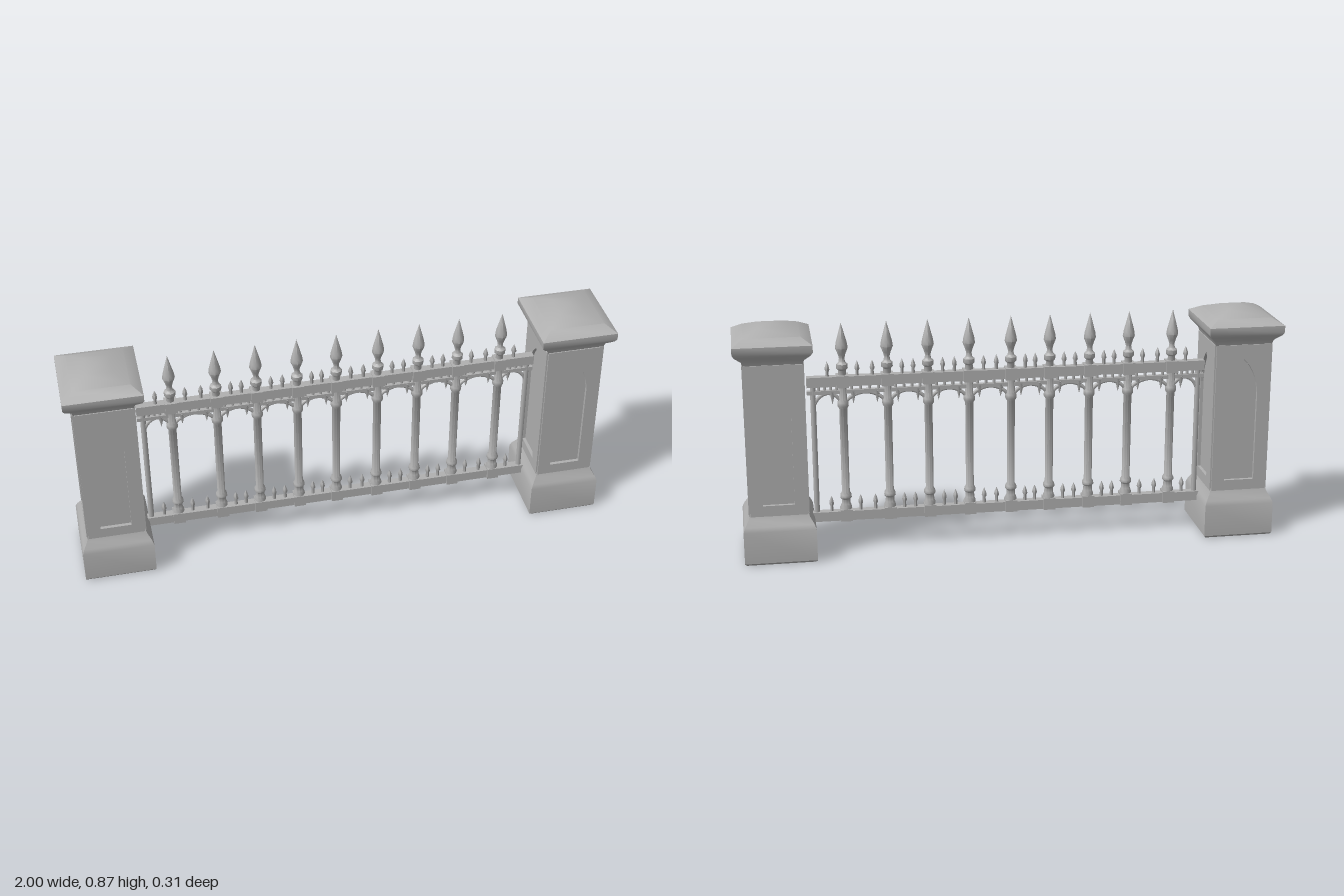
import * as THREE from 'three';
import { toCreasedNormals } from 'three/addons/utils/BufferGeometryUtils.js';

const stone = new THREE.MeshStandardMaterial({ color: 0xb0b0b0 });
stone.name = 'grey stone';

function add(parent, name, geometry, x = 0, y = 0, z = 0) {
  const mesh = new THREE.Mesh(geometry, stone);
  mesh.name = name;
  mesh.position.set(x, y, z);
  parent.add(mesh);
  return mesh;
}

// Square turned body: profile points are [half width, height]
function squareLathe(points) {
  const pts = points.map(([h, y]) => new THREE.Vector2(h * Math.SQRT2, y));
  const g = new THREE.LatheGeometry(pts, 4).rotateY(Math.PI / 4);
  return toCreasedNormals(g, 0.6);
}

function roundLathe(points, sides = 10) {
  const g = new THREE.LatheGeometry(points.map(([r, y]) => new THREE.Vector2(r, y)), sides);
  return toCreasedNormals(g, 0.8);
}

// Shaft face with a pointed arch cut out
function panelGeometry() {
  const w = 0.113, a = 0.062;
  const face = new THREE.Shape();
  face.moveTo(-w, 0.18).lineTo(w, 0.18).lineTo(w, 0.745).lineTo(-w, 0.745).closePath();
  const arch = new THREE.Path();
  arch.moveTo(-a, 0.22).lineTo(-a, 0.56);
  arch.quadraticCurveTo(-a + 0.006, 0.645, 0, 0.69);
  arch.quadraticCurveTo(a - 0.006, 0.645, a, 0.56);
  arch.lineTo(a, 0.22).closePath();
  face.holes.push(arch);
  return new THREE.ExtrudeGeometry(face, { depth: 0.024, bevelEnabled: false, curveSegments: 8 });
}

function makePillar(side) {
  const pillar = new THREE.Group();
  pillar.name = side > 0 ? 'leftPillar' : 'rightPillar';
  add(pillar, 'pillarBase', squareLathe([
    [0, 0], [0.136, 0], [0.143, 0.008], [0.143, 0.128], [0.136, 0.145],
    [0.12, 0.17], [0.112, 0.195], [0, 0.195],
  ]));
  add(pillar, 'pillarCore', new THREE.BoxGeometry(0.212, 0.58, 0.212), 0, 0.47);
  const panel = panelGeometry();
  for (let i = 0; i < 4; i++) {
    const angle = i * Math.PI / 2;
    const mesh = add(pillar, 'archedPanel', panel, Math.sin(angle) * 0.095, 0, Math.cos(angle) * 0.095);
    mesh.rotation.y = angle;
  }
  add(pillar, 'pillarCap', squareLathe([
    [0, 0.735], [0.112, 0.735], [0.12, 0.76], [0.145, 0.782], [0.153, 0.795],
    [0.153, 0.82], [0.11, 0.843], [0.05, 0.864], [0, 0.874],
  ]));
  pillar.scale.x = 0.92;
  pillar.position.x = side * 0.859;
  return pillar;
}

// Curved iron bracket rising from one bar to the middle of the bay
function archHalf(from, to) {
  const curve = new THREE.QuadraticBezierCurve3(
    new THREE.Vector3(from, 0.545, 0),
    new THREE.Vector3(from + (to - from) * 0.25, 0.595, 0),
    new THREE.Vector3(to, 0.6, 0));
  return new THREE.TubeGeometry(curve, 8, 0.007, 6);
}

function makeFence() {
  const fence = new THREE.Group();
  fence.name = 'fence';

  // Rails and end posts
  const rail = (name, y, h, d) => add(fence, name, new THREE.BoxGeometry(1.48, h, d), 0, y);
  rail('topRail', 0.645, 0.037, 0.03);
  rail('laceRail', 0.604, 0.014, 0.018);
  rail('bottomRail', 0.127, 0.036, 0.03);
  for (const s of [-1, 1]) {
    add(fence, 'endPost', new THREE.CylinderGeometry(0.01, 0.01, 0.54, 8), s * 0.718, 0.385);
  }

  const bar = roundLathe([
    [0, 0.13], [0.02, 0.13], [0.022, 0.16], [0.017, 0.172], [0.016, 0.19], [0.022, 0.197],
    [0.021, 0.208], [0.015, 0.218], [0.015, 0.54], [0.021, 0.55], [0.021, 0.565],
    [0.015, 0.575], [0.015, 0.64], [0, 0.64],
  ]);
  const finial = roundLathe([
    [0, 0.65], [0.015, 0.65], [0.014, 0.685], [0.021, 0.692], [0.021, 0.708], [0.012, 0.716],
    [0.01, 0.73], [0.014, 0.745], [0.023, 0.768], [0.02, 0.788], [0.01, 0.825], [0, 0.862],
  ], 8);
  const spike = roundLathe([
    [0, 0], [0.007, 0], [0.006, 0.026], [0.01, 0.034], [0.008, 0.045], [0, 0.064],
  ], 6);
  const cusp = new THREE.ConeGeometry(0.012, 0.05, 6).rotateX(Math.PI);
  const collar = new THREE.BoxGeometry(0.044, 0.045, 0.046);
  const bars = [-0.615, -0.45, -0.303, -0.153, -0.008, 0.147, 0.298, 0.447, 0.61];

  // Bars with spear tips and flanking ornaments
  for (const x of bars) {
    add(fence, 'bar', bar, x);
    add(fence, 'spearTip', finial, x);
    add(fence, 'railCollar', collar, x, 0.645);
    add(fence, 'footCollar', collar, x, 0.13);
    for (const s of [-1, 1]) {
      add(fence, 'topSpike', spike, x + s * 0.054, 0.655);
      add(fence, 'bottomSpike', spike, x + s * 0.054, 0.14);
      add(fence, 'hangingCusp', cusp, x + s * 0.038, 0.58);
    }
  }

  // Arches and lace studs in each bay
  const stops = [-0.718, ...bars, 0.718];
  for (let i = 0; i < stops.length - 1; i++) {
    const a = stops[i], b = stops[i + 1], mid = (a + b) / 2;
    add(fence, 'archBracket', archHalf(a, mid));
    add(fence, 'archBracket', archHalf(b, mid));
    for (let k = 1; k < 5; k++) {
      add(fence, 'laceStud', new THREE.CylinderGeometry(0.006, 0.006, 0.03, 6), a + (b - a) * k / 5, 0.618);
    }
  }
  fence.position.z = -0.004;
  return fence;
}

export function createModel() {
  const model = new THREE.Group();
  model.name = 'fenceSection';
  model.add(makePillar(-1), makePillar(1), makeFence());
  return model;
}
